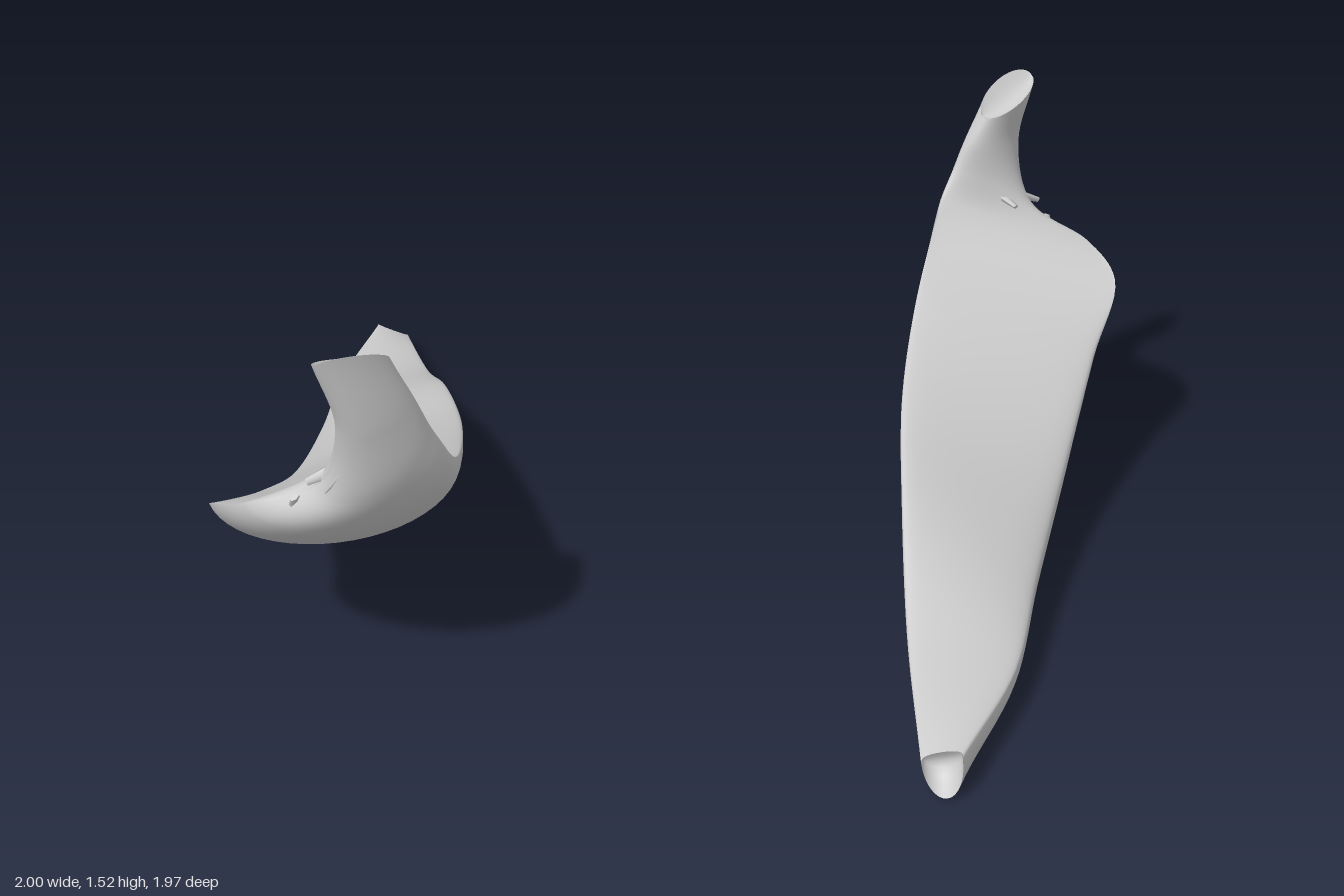
import * as THREE from 'three';
import { ParametricGeometry } from 'three/addons/geometries/ParametricGeometry.js';

const V = (x, y, z) => new THREE.Vector3(x, y, z);
const spline = (pts) => new THREE.CatmullRomCurve3(pts.map((p) => V(...p)));

// Guide curves, all running from the low tip to the stem end
const backRim = spline([[0.92, 0.13, -0.97], [0.51, 0.12, -0.74], [0.14, 0.17, -0.43], [-0.27, 0.29, -0.11], [-0.7, 0.56, 0.19],
  [-0.97, 0.77, 0.36], [-0.99, 0.88, 0.55], [-0.87, 1.01, 0.77], [-0.89, 1.25, 0.88], [-0.98, 1.5, 0.89]]);
const frontRim = spline([[1, 0.09, -0.87], [0.72, 0.2, -0.44], [0.43, 0.42, -0.04], [0.15, 0.57, 0.32], [-0.15, 0.75, 0.63],
  [-0.4, 0.93, 0.84], [-0.52, 1.07, 0.91], [-0.58, 1.16, 0.92], [-0.64, 1.29, 0.9], [-0.69, 1.39, 0.86]]);
const keel = spline([[0.98, 0.01, -0.97], [0.61, 0.015, -0.61], [0.27, 0.13, -0.23], [-0.06, 0.245, 0.11], [-0.4, 0.44, 0.44],
  [-0.66, 0.655, 0.68], [-0.76, 0.865, 0.86], [-0.77, 1.04, 0.95], [-0.78, 1.25, 0.97], [-0.84, 1.5, 0.935]]);
const crown = spline([[0.94, 0.12, -0.9], [0.61, 0.19, -0.59], [0.28, 0.35, -0.23], [-0.06, 0.49, 0.11], [-0.42, 0.69, 0.41],
  [-0.68, 0.85, 0.61], [-0.75, 0.97, 0.72], [-0.73, 1.1, 0.79], [-0.75, 1.27, 0.81], [-0.82, 1.42, 0.8]]);

// Point on the lens-shaped section at t: angle 0..PI is the upper side, PI..2PI the underside
function section(t, angle, out) {
  const l = backRim.getPoint(t);
  const r = frontRim.getPoint(t);
  const mid = l.clone().add(r).multiplyScalar(0.5);
  const s = Math.sin(angle);
  const pull = (s > 0 ? crown : keel).getPoint(t).sub(mid);
  // The broad upper face is flat with a rolled edge, the stem is oval
  const power = s > 0 ? THREE.MathUtils.lerp(0.5, 1, THREE.MathUtils.smoothstep(t, 0.4, 0.75)) : 1;
  return out.copy(mid).addScaledVector(r.sub(l), Math.cos(angle) / 2).addScaledVector(pull, Math.abs(s) ** power);
}

export function createModel() {
  const group = new THREE.Group();
  const material = new THREE.MeshStandardMaterial({ color: 0xcccccc, side: THREE.DoubleSide });
  const add = (name, geometry) => {
    const mesh = new THREE.Mesh(geometry, material);
    mesh.name = name;
    group.add(mesh);
    return mesh;
  };

  // Upper face and rounded underside meet in a sharp rim
  add('upperFace', new ParametricGeometry((u, v, p) => section(v, u * Math.PI, p), 32, 72));
  add('underside', new ParametricGeometry((u, v, p) => section(v, Math.PI * (1 + u), p), 24, 72));

  // Slightly sunken ends
  const cap = (t, inner) => new ParametricGeometry((u, v, p) => {
    const low = section(t, -Math.PI * u, V(0, 0, 0));
    section(t, Math.PI * u, p).lerp(low, v);
    p.addScaledVector(inner, Math.sin(Math.PI * u) * Math.sin(Math.PI * v));
  }, 16, 6);
  add('tipEnd', cap(0, V(-0.03, 0, 0.03)));
  add('stemEnd', cap(1, V(0, -0.03, 0)));

  // Torn shreds at the neck
  const shreds = [
    [[-0.8, 1.06, 0.8], [-0.9, 1.02, 0.75], 0.025],
    [[-0.85, 1.1, 0.86], [-0.87, 1.0, 0.8], 0.022],
    [[-0.74, 1.06, 0.8], [-0.75, 1.03, 0.72], 0.028],
    [[-0.9, 0.92, 0.7], [-0.92, 0.96, 0.72], 0.03],
  ];
  for (const [from, to, radius] of shreds) {
    const a = V(...from);
    const dir = V(...to).sub(a);
    const length = dir.length();
    const shred = add('tornShred', new THREE.CylinderGeometry(radius * 0.5, radius, length, 6));
    shred.scale.z = 0.5;
    shred.quaternion.setFromUnitVectors(V(0, 1, 0), dir.clone().normalize());
    shred.position.copy(a).addScaledVector(dir, 0.5);
  }
  return group;
}
